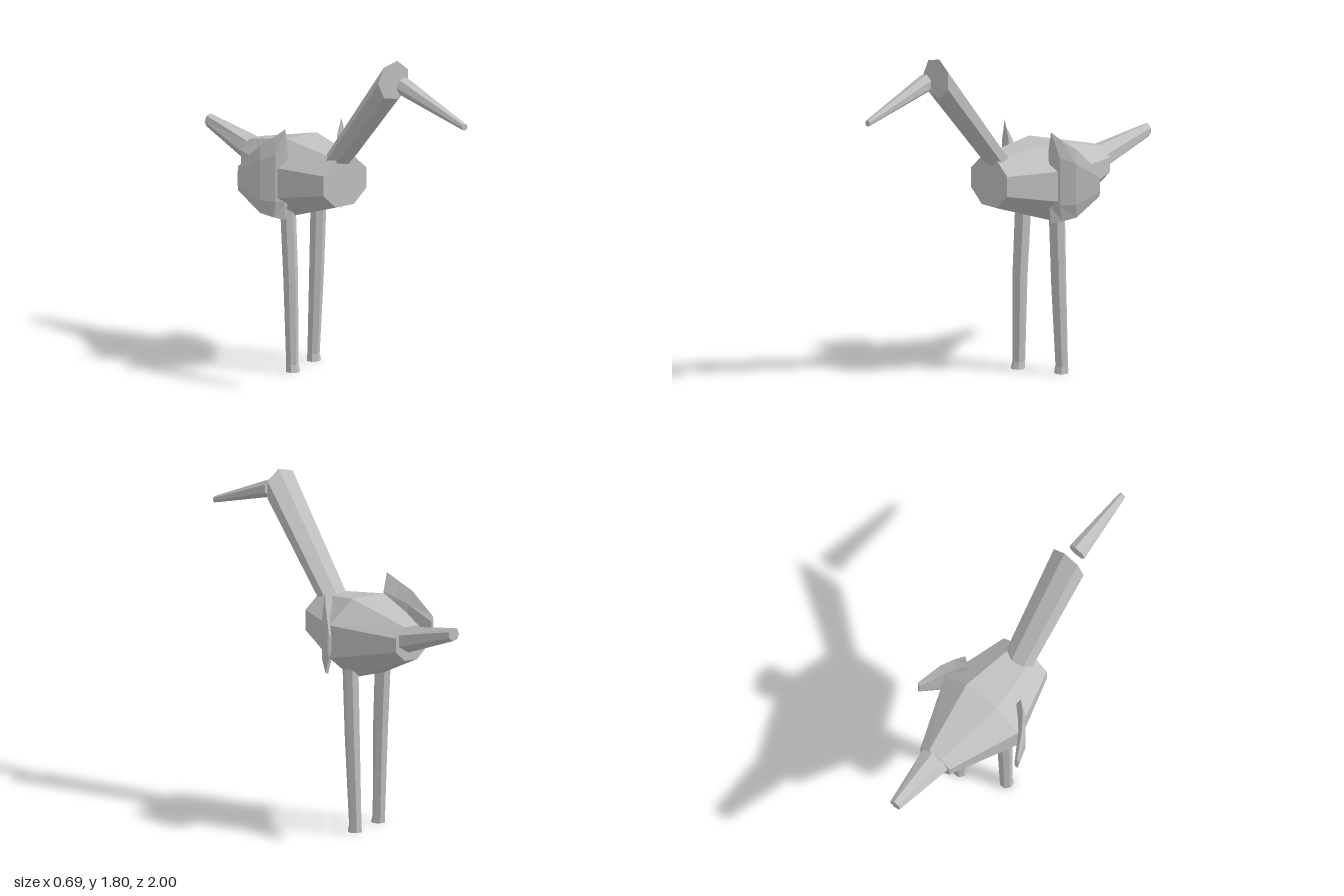
import * as THREE from 'three';

const grey = new THREE.MeshStandardMaterial({ color: 0xc0c0c0, flatShading: true });
grey.name = 'plain grey';

// Skin a closed solid over rings of equal point count, with both ends capped
function loft(name, rings) {
  const pos = [];
  const tri = (a, b, c) => pos.push(...a, ...b, ...c);
  const n = rings[0].length;
  for (let i = 0; i < rings.length - 1; i++) {
    for (let j = 0; j < n; j++) {
      const k = (j + 1) % n;
      const [a, b, c, d] = [rings[i][j], rings[i][k], rings[i + 1][k], rings[i + 1][j]];
      tri(a, b, c);
      tri(a, c, d);
    }
  }
  const last = rings[rings.length - 1];
  for (let j = 1; j < n - 1; j++) {
    tri(rings[0][0], rings[0][j + 1], rings[0][j]);
    tri(last[0], last[j], last[j + 1]);
  }
  // Signed volume tells whether the faces point inward; if so, reverse them
  const v = (i) => new THREE.Vector3().fromArray(pos, i);
  let volume = 0;
  for (let i = 0; i < pos.length; i += 9) volume += v(i).dot(v(i + 3).cross(v(i + 6)));
  if (volume < 0) {
    for (let i = 0; i < pos.length; i += 9) {
      for (let c = 0; c < 3; c++) {
        [pos[i + 3 + c], pos[i + 6 + c]] = [pos[i + 6 + c], pos[i + 3 + c]];
      }
    }
  }
  const geo = new THREE.BufferGeometry();
  geo.setAttribute('position', new THREE.Float32BufferAttribute(pos, 3));
  geo.computeVertexNormals();
  const mesh = new THREE.Mesh(geo, grey);
  mesh.name = name;
  return mesh;
}

// Polygon ring in a plane of constant z
function ringZ(x, y, z, rx, ry, sides, phase = 0) {
  return Array.from({ length: sides }, (_, i) => {
    const a = phase + (i / sides) * Math.PI * 2;
    return [x + rx * Math.cos(a), y + ry * Math.sin(a), z];
  });
}

// Polygon ring in a plane of constant y
function ringY(x, y, z, r, sides = 7) {
  return ringZ(x, z, y, r, r, sides, Math.PI / 2).map(([px, pz, py]) => [px, py, pz]);
}

// One wing plate: each column is a slim six-sided section, wide in the middle
function wing(name, side) {
  // rim x, rim z, outer x, outer z, inner x, inner z, top y, bottom y
  const columns = [
    [0.19, -0.165, 0.178, -0.162, 0.165, -0.17, 1.335, 0.84],
    [0.235, -0.205, 0.238, -0.185, 0.212, -0.215, 1.29, 0.855],
    [0.28, -0.265, 0.292, -0.25, 0.255, -0.265, 1.243, 0.875],
    [0.338, -0.375, 0.343, -0.372, 0.325, -0.38, 1.115, 0.985],
  ];
  return loft(name, columns.map(([rx, rz, ox, oz, ix, iz, top, bot]) => {
    const hi = top - (top - bot) * 0.2;
    const lo = bot + (top - bot) * 0.2;
    return [
      [rx, top, rz], [ox, hi, oz], [ox, lo, oz],
      [rx, bot, rz], [ix, lo, iz], [ix, hi, iz],
    ].map(([x, y, z]) => [side * x, y, z]);
  }));
}

export function createModel() {
  const bird = new THREE.Group();
  bird.name = 'longLeggedBird';

  // Octagonal body, widest in the middle
  const k = 1 / Math.cos(Math.PI / 8);
  const body = [
    [1.072, 0.1, 0.147, 0.13],
    [1.037, -0.26, 0.25, 0.213],
    [1.07, -0.645, 0.098, 0.091],
  ];
  bird.add(loft('body', body.map(([y, z, rx, ry]) => ringZ(0, y, z, rx * k, ry * k, 8, Math.PI / 8))));

  // Seven-sided neck, beak and tail, cut square to z
  bird.add(loft('neck', [
    ringZ(-0.003, 1.13, 0, 0.084, 0.08, 7, Math.PI),
    ringZ(0.022, 1.697, 0.48, 0.107, 0.107, 7, Math.PI),
  ]));
  bird.add(loft('beak', [
    ringZ(0.028, 1.682, 0.56, 0.053, 0.05, 7, Math.PI),
    ringZ(0.08, 1.541, 1, 0.019, 0.018, 7, Math.PI),
  ]));
  bird.add(loft('tail', [
    ringZ(0, 1.09, -0.64, 0.088, 0.072, 7, Math.PI),
    ringZ(-0.022, 1.183, -1, 0.034, 0.037, 7, Math.PI),
  ]));

  // Legs, the left one set further back, each ending in a slightly kicked foot
  bird.add(loft('leftLeg', [
    ringY(0.117, 0.92, -0.265, 0.044),
    ringY(0.115, 0.5, -0.28, 0.041),
    ringY(0.113, 0.04, -0.303, 0.034),
    ringY(0.113, 0, -0.3, 0.039),
  ]));
  bird.add(loft('rightLeg', [
    ringY(-0.118, 0.92, -0.235, 0.044),
    ringY(-0.118, 0.5, -0.21, 0.041),
    ringY(-0.115, 0.04, -0.2, 0.034),
    ringY(-0.115, 0, -0.193, 0.039),
  ]));

  bird.add(wing('leftWing', 1), wing('rightWing', -1));
  return bird;
}
